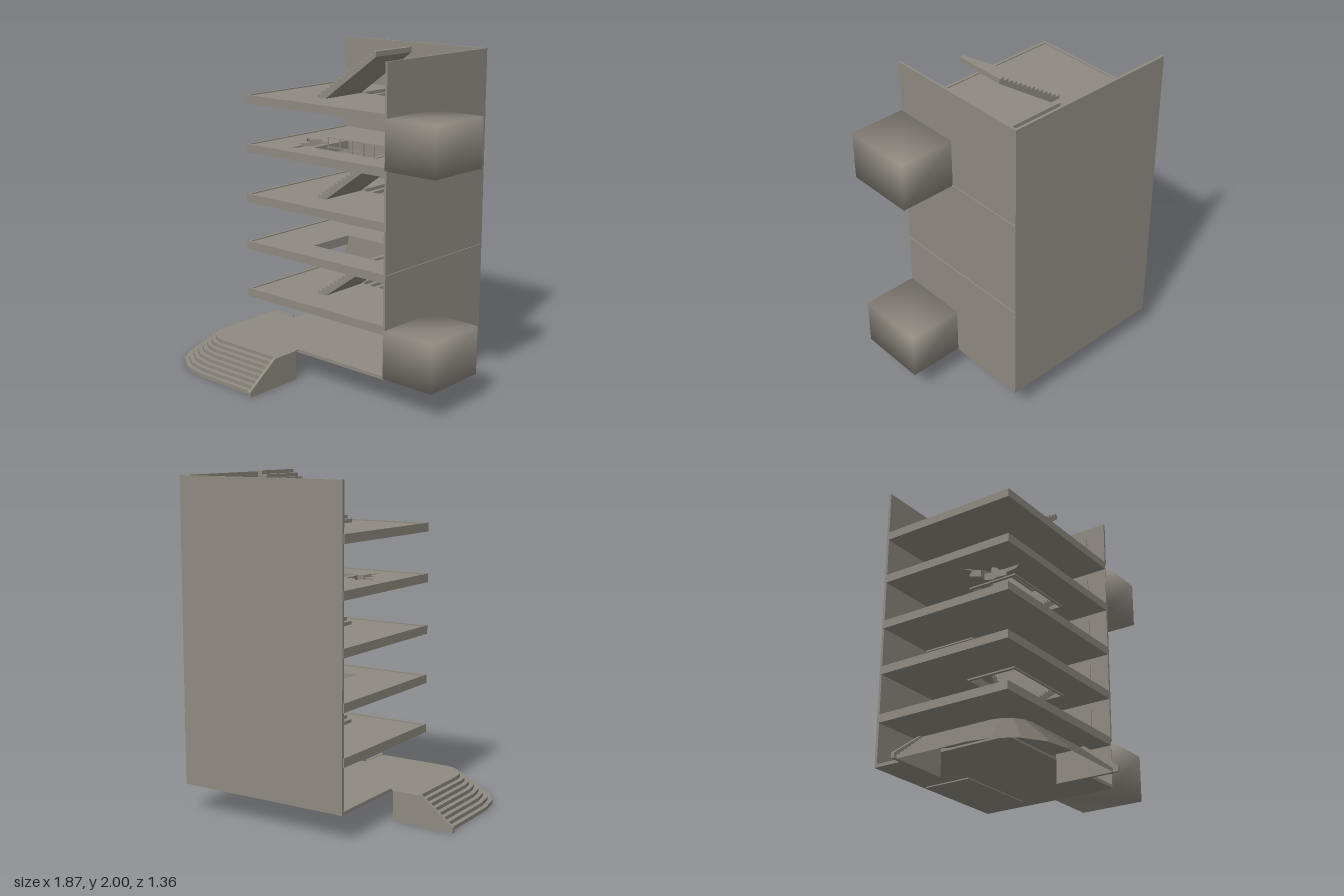
import * as THREE from 'three';
import { mergeVertices } from 'three/addons/utils/BufferGeometryUtils.js';

const concrete = new THREE.MeshStandardMaterial({ color: 0x8f8a80, side: THREE.DoubleSide });
concrete.name = 'concrete';

export function createModel() {
  const root = new THREE.Group();
  root.name = 'tower';

  const add = (name, geo) => {
    const m = new THREE.Mesh(geo, concrete);
    m.name = name;
    root.add(m);
    return m;
  };
  // Box given by its minimum and maximum corners
  const box = (name, x0, x1, y0, y1, z0, z1) =>
    add(name, new THREE.BoxGeometry(x1 - x0, y1 - y0, z1 - z0)
      .translate((x0 + x1) / 2, (y0 + y1) / 2, (z0 + z1) / 2));
  const rect = (x0, x1, z0, z1) => [[x0, z0], [x1, z0], [x1, z1], [x0, z1]];
  const points = (list) => list.map(([x, z]) => new THREE.Vector2(x, z));
  // Horizontal plate with holes, hanging down from its top level
  const plate = (name, outline, holes, top, thick) => {
    const shape = new THREE.Shape(points(outline));
    holes.forEach((h) => shape.holes.push(new THREE.Path(points(h))));
    const g = new THREE.ExtrudeGeometry(shape, { depth: thick, bevelEnabled: false });
    return add(name, g.rotateX(Math.PI / 2).translate(0, top, 0));
  };

  // Outer walls: closed at the back and on the left, open elsewhere
  box('backWall', -0.51, 0.59, 0.16, 1.98, -0.68, -0.663);
  box('sideWall', 0.576, 0.59, 0.16, 1.98, -0.663, 0.25);
  for (const y of [0.775, 1.378]) box('wallLedge', 0.59, 0.596, y, y + 0.008, -0.68, 0.255);

  // Floors, with stairwells alternating between the rear and the middle
  const rearWell = rect(-0.09, 0.56, -0.655, -0.31);
  const midWell = rect(-0.15, 0.35, -0.28, 0.04);
  const brokenHole = [[-0.4, -0.18], [-0.34, -0.14], [-0.29, -0.2], [-0.25, -0.14], [-0.2, -0.15],
    [-0.18, -0.1], [-0.19, -0.06], [-0.18, 0], [-0.21, 0.02], [-0.22, 0.1], [-0.25, 0.14],
    [-0.25, 0.03], [-0.31, -0.01], [-0.27, -0.06], [-0.33, -0.09]];
  const floors = [0.18, 0.48, 0.785, 1.085, 1.395, 1.695];
  plate('groundFloor', rect(-0.51, 0.59, -0.68, 0.25), [], 0.18, 0.02);
  box('groundPlate', -0.07, 0.5, 0.153, 0.161, -0.655, -0.34);
  floors.slice(1).forEach((y, i) => {
    const well = i % 2 ? midWell : rearWell;
    const holes = i === 3 ? [well, brokenHole] : [well];
    plate('floorSlab', rect(-0.5, 0.58, -0.67, 0.235), holes, y - 0.005, 0.045);
    // Raised rim along the open edges
    box('floorRimFront', -0.515, 0.58, y - 0.05, y + 0.002, 0.233, 0.25);
    box('floorRimSide', -0.515, -0.498, y - 0.05, y + 0.002, -0.67, 0.233);
    // Thin trim under the stairwell
    const [x0, x1, z0, z1] = i % 2 ? [-0.17, 0.355, -0.28, 0.04] : [-0.115, 0.56, -0.655, -0.31];
    plate('wellTrim', rect(x0, x1, z0 - 0.005, z1 + 0.015), [well], y - 0.05, 0.01);
  });

  // Door panels on the inside of the side wall
  for (const y of floors) box('doorPanel', 0.57, 0.577, y, y + 0.21, 0, 0.12);

  // Stair flights: a sawtooth top with a straight soffit
  const flight = (y, rise, xStart, xEnd, z0, z1) => {
    const n = 14, dx = (xEnd - xStart) / n, dy = rise / n;
    const p = [[xStart, 0]];
    for (let i = 0; i < n; i++) {
      p.push([xStart + i * dx, (i + 1) * dy], [xStart + (i + 1) * dx, (i + 1) * dy]);
    }
    p.push([xEnd, rise - 0.03], [xStart + 2 * dx, 0]);
    const g = new THREE.ExtrudeGeometry(new THREE.Shape(points(p)), { depth: z1 - z0, bevelEnabled: false });
    add('stairFlight', g.translate(0, y, z0));
  };
  floors.forEach((y, i) => {
    if (i % 2) flight(y, 0.305, -0.115, 0.335, -0.28, 0.04);
    else flight(y, 0.3, 0.325, -0.09, -0.655, -0.34);
  });

  // Railing beside the fourth stairwell
  for (const x of [-0.02, 0.075, 0.165, 0.255, 0.335]) {
    box('railPost', x - 0.003, x + 0.003, 1.39, 1.47, 0.047, 0.053);
  }
  for (const y of [1.41, 1.467]) box('handRail', -0.02, 0.338, y, y + 0.005, 0.047, 0.053);

  // Projecting bays with soft shading
  for (const y of [0.165, 1.38]) {
    let g = new THREE.BoxGeometry(0.35, 0.292, 0.425);
    g.deleteAttribute('normal');
    g.deleteAttribute('uv');
    g = mergeVertices(g);
    g.computeVertexNormals();
    add('bay', g.translate(0.755, y + 0.146, 0.04));
  }

  // Entrance steps: a hollow shell swept round the corner
  const cx = -0.55, cz = 0.28, steps = 8;
  const ring = (r) => {
    const out = [[cx - r, -0.18]];
    for (let i = 0; i <= 4; i++) {
      const a = (i / 4) * Math.PI / 2;
      out.push([cx - r * Math.cos(a), cz + r * Math.sin(a)]);
    }
    out.push([-0.085, cz + r]);
    return out;
  };
  const profile = [];
  for (let i = 0; i < steps; i++) {
    const r = 0.365 - i * 0.0285;
    profile.push([r, i * 0.18 / steps], [r, (i + 1) * 0.18 / steps]);
  }
  const pos = [];
  for (let k = 0; k < profile.length - 1; k++) {
    const [ra, ya] = profile[k], [rb, yb] = profile[k + 1];
    const A = ring(ra), B = ring(rb);
    for (let i = 0; i < A.length - 1; i++) {
      const a = [A[i][0], ya, A[i][1]], b = [A[i + 1][0], ya, A[i + 1][1]];
      const c = [B[i + 1][0], yb, B[i + 1][1]], d = [B[i][0], yb, B[i][1]];
      pos.push(...a, ...b, ...c, ...a, ...c, ...d);
    }
  }
  const shell = new THREE.BufferGeometry();
  shell.setAttribute('position', new THREE.Float32BufferAttribute(pos, 3));
  shell.computeVertexNormals();
  add('entranceSteps', shell);
  plate('entrancePlatform',
    [...ring(profile[profile.length - 1][0]), [-0.085, 0.25], [-0.51, 0.25], [-0.51, -0.15], [-0.54, -0.18]],
    [], 0.18, 0.008);

  // Sloped cheek walls closing both ends of the steps
  const cheek = () => new THREE.ExtrudeGeometry(
    new THREE.Shape(points([[0, 0], [0.39, 0], [0.39, 0.03], [0.18, 0.183], [0, 0.183]])),
    { depth: 0.02, bevelEnabled: false });
  add('frontCheek', cheek().rotateY(-Math.PI / 2).translate(-0.073, 0, 0.285));
  add('sideCheek', cheek().rotateY(Math.PI).translate(-0.545, 0, -0.17));

  return root;
}
